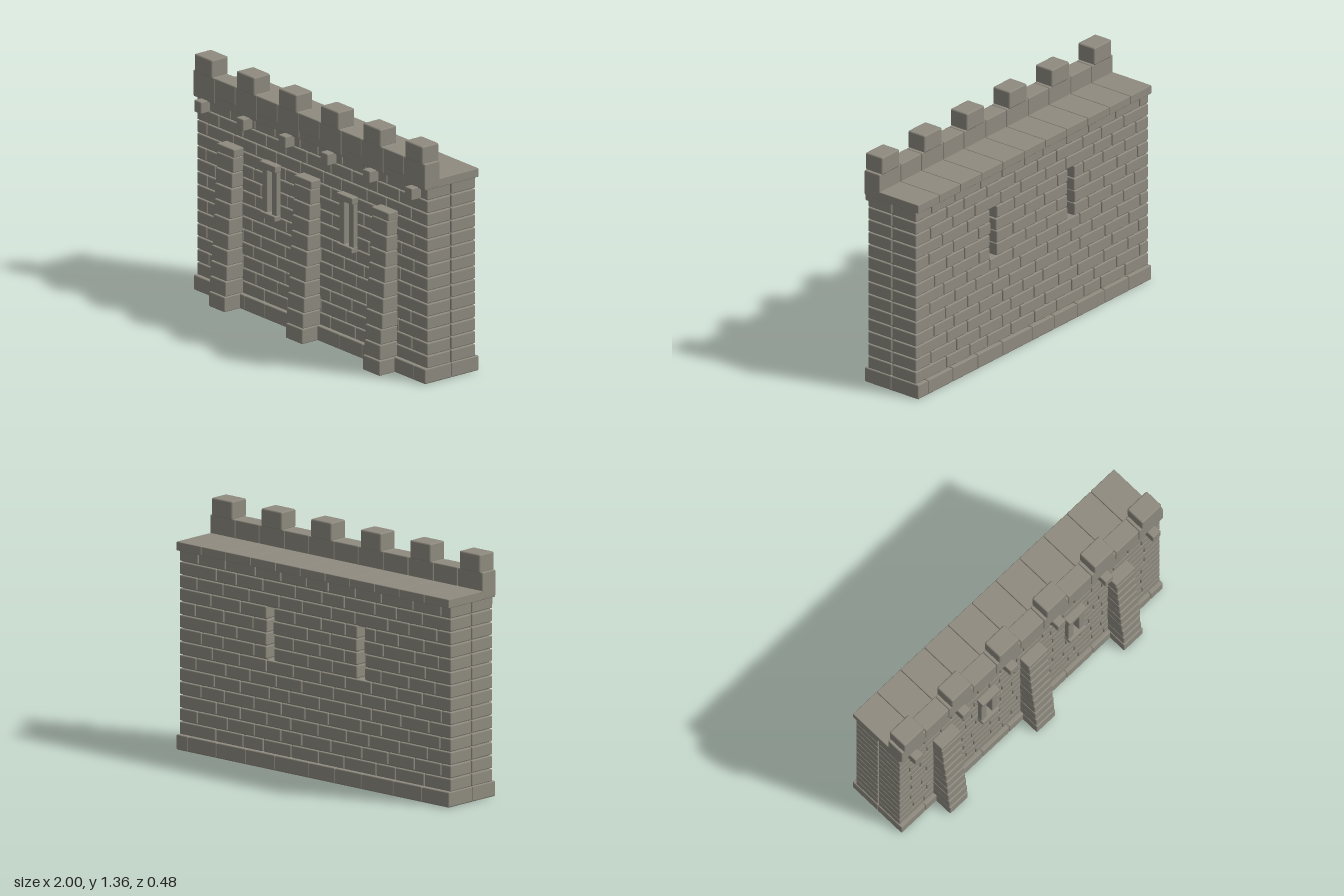
import * as THREE from 'three';
import { mergeGeometries } from 'three/addons/utils/BufferGeometryUtils.js';
import { RoundedBoxGeometry } from 'three/addons/geometries/RoundedBoxGeometry.js';

const GAP = 0.005;
const WINDOWS = [-0.335, 0.33];
const SLIT = { half: 0.023, bottom: 0.6, top: 0.895 };

// Seeded generator for small masonry irregularities
let seed = 7;
const rand = () => {
  seed = (seed * 16807) % 2147483647;
  return seed / 2147483647;
};
const jitter = (a) => (rand() * 2 - 1) * a;

// Stone block given by its limits, with softened edges
function block(x0, x1, y0, y1, z0, z1, r = 0.006) {
  const g = new RoundedBoxGeometry(x1 - x0, y1 - y0, z1 - z0, 1, r);
  g.translate((x0 + x1) / 2, (y0 + y1) / 2, (z0 + z1) / 2);
  return g;
}

// One row of uneven blocks between two x limits
function course(out, a, b, y0, y1, z0, z1, length, offset) {
  const cuts = [a];
  for (let x = -1 + offset; x < b - 0.05; x += length) {
    const cut = x + jitter(length * 0.14);
    if (cut > a + 0.05 && cut < b - 0.05) cuts.push(cut);
  }
  cuts.push(b);
  for (let i = 0; i < cuts.length - 1; i++) {
    const h = GAP / 2;
    const left = i === 0 ? a : cuts[i] + h;
    const right = i === cuts.length - 2 ? b : cuts[i + 1] - h;
    out.push(block(left, right, y0 + h, y1 - h, z0, z1));
  }
}

export function createModel() {
  const model = new THREE.Group();
  model.name = 'castleWall';
  const stone = new THREE.MeshStandardMaterial({ color: 0x8f8b80 });
  stone.name = 'stone';

  const add = (name, geometries) => {
    const mesh = new THREE.Mesh(mergeGeometries(geometries), stone);
    mesh.name = name;
    model.add(mesh);
  };

  // Recessed core, pierced by the window slits
  const outline = new THREE.Shape();
  outline.moveTo(-0.983, 0.02).lineTo(0.983, 0.02).lineTo(0.983, 1.12).lineTo(-0.983, 1.12).closePath();
  for (const x of WINDOWS) {
    const hole = new THREE.Path();
    const w = SLIT.half + 0.013;
    hole.moveTo(x - w, SLIT.bottom).lineTo(x - w, SLIT.top).lineTo(x + w, SLIT.top).lineTo(x + w, SLIT.bottom).closePath();
    outline.holes.push(hole);
  }
  const core = new THREE.ExtrudeGeometry(outline, { depth: 0.306, bevelEnabled: false });
  core.translate(0, 0, -0.206);
  add('wallCore', [core]);

  // Seamless footing between the plinth blocks
  add('footing', [block(-0.996, 0.996, 0, 0.08, -0.236, 0.131, 0.002)]);

  // Front and back skins of brickwork above a wider plinth
  const skins = [
    { name: 'front', z0: -0.048, z1: 0.115, p0: -0.05, p1: 0.135 },
    { name: 'back', z0: -0.22, z1: -0.053, p0: -0.24, p1: -0.05 },
  ];
  const rows = 14, base = 0.083, rowHeight = (1.122 - base) / rows;
  for (const s of skins) {
    const bricks = [], plinth = [];
    course(plinth, -1, 1, -0.001, 0.088, s.p0, s.p1, 0.21, 0.21);
    add(s.name + 'Plinth', plinth);
    for (let r = 0; r < rows; r++) {
      const y0 = base + r * rowHeight, y1 = y0 + rowHeight;
      const mid = (y0 + y1) / 2;
      const edges = [-0.995];
      if (mid > SLIT.bottom && mid < SLIT.top) {
        for (const x of WINDOWS) {
          edges.push(x - SLIT.half - rand() * 0.01, x + SLIT.half + rand() * 0.01);
        }
      }
      edges.push(0.995);
      for (let i = 0; i < edges.length; i += 2) {
        course(bricks, edges[i], edges[i + 1], y0, y1, s.z0, s.z1, 0.195, r % 2 ? 0.1 : 0.19);
      }
    }
    add(s.name + 'Bricks', bricks);
  }

  // Walkway slabs, parapet blocks, merlons and corbels
  const slabs = [], parapet = [], merlons = [], corbels = [];
  const bay = 2 / 11;
  for (let i = 0; i < 11; i++) {
    const x = -1 + (i + 0.5) * bay, h = bay / 2;
    slabs.push(block(x - h + 0.001, x + h - 0.001, 1.11, 1.16, -0.24, 0.133, 0.004));
    const low = i % 2 ? 1.152 : 1.115;
    const grow = i % 2 ? -0.003 : 0.002;
    const x0 = Math.max(-1, x - h - grow), x1 = Math.min(1, x + h + grow);
    parapet.push(block(x0, x1, low, 1.262, 0.03, 0.137));
    if (i % 2 === 0) {
      merlons.push(block(x - 0.075, x + 0.075, 1.256, 1.36, 0.025, 0.142, 0.009));
      corbels.push(block(x - 0.03, x + 0.03, 1.047, 1.116, 0.06, 0.18));
    }
  }
  add('walkwaySlabs', slabs);
  add('parapet', parapet);
  add('merlons', merlons);
  add('corbels', corbels);

  // Battered buttresses, each course stepping back slightly
  const buttresses = [];
  for (const x of [-0.667, 0, 0.667]) {
    for (let i = 0; i < 10; i++) {
      const y = i * 0.0875, half = 0.07 + jitter(0.003);
      buttresses.push(block(x - half, x + half, y, y + 0.0855, 0.08, 0.242 - i * 0.0063));
    }
    buttresses.push(block(x - 0.074, x + 0.074, 0.874, 0.922, 0.08, 0.182));
  }
  add('buttresses', buttresses);

  // Stone surrounds of the arrow slits
  const frames = [];
  for (const x of WINDOWS) {
    for (const side of [-1, 1]) {
      const c = x + side * 0.041;
      frames.push(block(c - 0.02, c + 0.02, 0.61, 0.88, 0.05, 0.142, 0.005));
    }
    frames.push(block(x - 0.068, x + 0.068, 0.87, 0.908, 0.05, 0.158, 0.005));
    frames.push(block(x - 0.064, x + 0.064, 0.588, 0.62, 0.05, 0.158, 0.005));
  }
  add('windowSurrounds', frames);

  return model;
}
